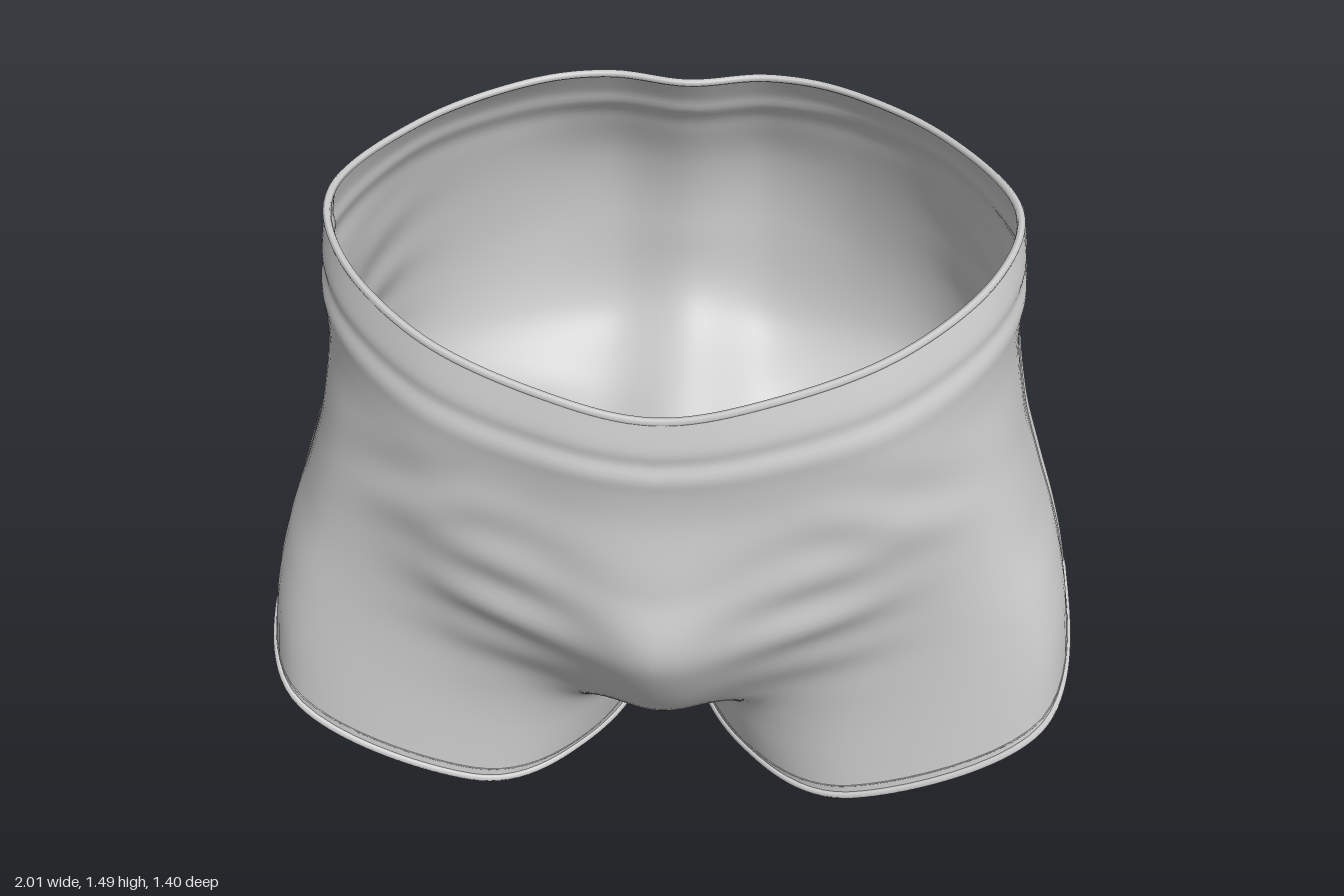
import * as THREE from 'three';
import { mergeGeometries, mergeVertices } from 'three/addons/utils/BufferGeometryUtils.js';

// Lines running from waist to hem on the left half, in order around the leg.
// Point 6 is the crotch level, point 7 the hem.
const CROTCH = [0, 0.29, 0.13], INSEAM = [0.08, 0.05, 0.02];
const centreFront = [[0, 1.21, 0.635], [0, 1.1, 0.655], [0, 0.95, 0.65], [0, 0.77, 0.675], [0, 0.55, 0.69], [0, 0.23, 0.43], CROTCH, INSEAM];
const innerFront = [[0.25, 1.25, 0.605], [0.25, 1.13, 0.63], [0.25, 0.97, 0.62], [0.22, 0.8, 0.63], [0.2, 0.57, 0.62], [0.19, 0.31, 0.47], [0.17, 0.19, 0.36], [0.2, 0.02, 0.32]];
const frontThigh = [[0.52, 1.315, 0.5], [0.53, 1.19, 0.53], [0.54, 1.02, 0.53], [0.54, 0.83, 0.53], [0.52, 0.63, 0.51], [0.49, 0.43, 0.48], [0.46, 0.22, 0.47], [0.47, 0.018, 0.48]];
const frontHip = [[0.73, 1.38, 0.28], [0.75, 1.26, 0.3], [0.75, 1.09, 0.31], [0.78, 0.9, 0.33], [0.83, 0.7, 0.35], [0.88, 0.54, 0.37], [0.91, 0.38, 0.39], [0.925, 0.2, 0.405]];
const side = [[0.79, 1.43, 0.03], [0.81, 1.3, 0.01], [0.81, 1.12, 0], [0.845, 0.9, -0.03], [0.89, 0.74, -0.04], [0.935, 0.6, -0.03], [0.965, 0.49, -0.02], [0.985, 0.39, -0.02]];
const backHip = [[0.63, 1.45, -0.27], [0.67, 1.34, -0.31], [0.7, 1.14, -0.36], [0.74, 0.92, -0.38], [0.79, 0.74, -0.37], [0.82, 0.56, -0.355], [0.835, 0.42, -0.35], [0.85, 0.225, -0.345]];
const backThigh = [[0.4, 1.47, -0.45], [0.44, 1.35, -0.52], [0.46, 1.15, -0.58], [0.47, 0.93, -0.6], [0.48, 0.73, -0.565], [0.5, 0.55, -0.46], [0.53, 0.36, -0.445], [0.55, 0.135, -0.48]];
const seat = [[0.2, 1.475, -0.51], [0.21, 1.36, -0.58], [0.22, 1.17, -0.67], [0.22, 0.95, -0.69], [0.22, 0.7, -0.65], [0.22, 0.54, -0.48], [0.24, 0.36, -0.35], [0.25, 0.08, -0.36]];
const centreBack = [[0, 1.465, -0.49], [0, 1.35, -0.56], [0, 1.16, -0.645], [0, 0.96, -0.665], [0, 0.74, -0.62], [0, 0.57, -0.39], CROTCH, INSEAM];
const lines = [centreFront, innerFront, frontThigh, frontHip, side, backHip, backThigh, seat, centreBack];

const spline = (a, b, c, d, t) => a.map((_, i) => {
  const m0 = (c[i] - a[i]) / 2, m1 = (d[i] - b[i]) / 2, t2 = t * t, t3 = t2 * t;
  return (2 * t3 - 3 * t2 + 1) * b[i] + (t3 - 2 * t2 + t) * m0 + (3 * t2 - 2 * t3) * c[i] + (t3 - t2) * m1;
});
const lerp = (a, b, t) => a.map((n, i) => n + (b[i] - n) * t);
const mirror = p => [-p[0], p[1], p[2]];
const bell = (x, centre, width) => Math.exp(-(((x - centre) / width) ** 2));

// Point on one waist-to-hem line; the two centre lines meet at the crotch
function linePoint(k, v) {
  const line = lines[k], centre = k === 0 || k === 8;
  if (centre && v > 6) {
    // the inseam leaves the crotch sideways, then drops to the hem
    const t = v - 6, p = lerp(CROTCH, INSEAM, t ** 1.3);
    return [INSEAM[0] * (1 - (1 - t) ** 4), p[1], p[2]];
  }
  const last = centre ? 6 : 7, i = Math.min(Math.floor(v), last - 1);
  return spline(line[Math.max(i - 1, 0)], line[i], line[i + 1], line[Math.min(i + 2, last)], v - i);
}

// Point on the cloth: u = 0 (front) to 8 (back), v = 0 (waist) to 7 (hem)
function cloth(u, v, s = 1, lift = 0) {
  const row = lines.map((_, k) => linePoint(k, v));
  const loop = THREE.MathUtils.smoothstep(v, 6, 6.4);
  const i = Math.min(Math.floor(u), 7);
  const before = [...(i ? row[i - 1] : lerp(mirror(row[1]), row[7], loop))];
  const after = [...(i < 7 ? row[i + 2] : lerp(mirror(row[7]), row[1], loop))];
  // the hem rises to a point at the side seam
  const point = THREE.MathUtils.smoothstep(v, 5, 7);
  if (i === 3) after[1] += (2 * row[4][1] - row[3][1] - after[1]) * point;
  if (i === 4) before[1] += (2 * row[4][1] - row[5][1] - before[1]) * point;
  const p = spline(before, row[i], row[i + 1], after, u - i);

  // waistband crease and soft folds
  let push = lift - 0.007 * bell(v, 0.95, 0.14) + 0.003 * bell(v, 1.25, 0.15);
  const [x, y, z] = p;
  if (z > 0) {
    push += 0.009 * Math.sin(38 * (y - 0.25 * x)) * bell(y, 0.65, 0.22) * bell(x, 0.36, 0.17);
    push += 0.007 * Math.sin(30 * (y + 0.4 * x)) * bell(y, 0.92, 0.12) * bell(x, 0.55, 0.17);
  } else {
    push += 0.005 * Math.sin(34 * (y + 0.3 * z)) * bell(y, 0.95, 0.25) * bell(z, -0.28, 0.13);
  }
  const r = Math.hypot(x, z) || 1;
  const onCentre = (u === 0 || u === 8) && v <= 6;
  return new THREE.Vector3(onCentre ? 0 : s * (x + push * x / r), y, z + push * z / r);
}

// One half of the shorts as a grid
function halfShell(s) {
  const nu = 80, nv = 84, pos = [], index = [];
  for (let j = 0; j <= nv; j++)
    for (let i = 0; i <= nu; i++) pos.push(...cloth(8 * i / nu, 7 * j / nv, s).toArray());
  for (let j = 0; j < nv; j++) {
    for (let i = 0; i < nu; i++) {
      const a = j * (nu + 1) + i, b = a + nu + 1, c = a + 1, d = b + 1;
      if (s > 0) index.push(a, b, c, c, b, d);
      else index.push(a, c, b, c, d, b);
    }
  }
  const g = new THREE.BufferGeometry();
  g.setAttribute('position', new THREE.Float32BufferAttribute(pos, 3));
  g.setIndex(index);
  return g;
}

export function createModel() {
  const model = new THREE.Group();
  const material = new THREE.MeshStandardMaterial({ color: 0xcccccc, side: THREE.DoubleSide });
  const add = (name, geometry) => {
    const mesh = new THREE.Mesh(geometry, material);
    mesh.name = name;
    model.add(mesh);
  };
  const cord = (name, points, radius, closed) =>
    add(name, new THREE.TubeGeometry(new THREE.CatmullRomCurve3(points, closed), points.length * 2, radius, 6, closed));
  const samples = (n, f) => Array.from({ length: n }, (_, i) => f(i / n));

  // cloth shell, both halves welded along the centre
  const shell = mergeVertices(mergeGeometries([halfShell(1), halfShell(-1)]), 1e-4);
  shell.computeVertexNormals();
  add('shortsCloth', shell);

  // rolled waist edge, set just inside the cloth
  const edge = s => t => cloth(s > 0 ? 8 * t : 8 - 8 * t, 0, s, -0.006);
  cord('waistEdge', [...samples(40, edge(1)), ...samples(40, edge(-1))], 0.01, true);

  for (const s of [1, -1]) {
    const label = s > 0 ? 'left' : 'right';
    // leg hem with its stitching
    cord(label + 'HemEdge', samples(64, t => cloth(8 * t, 7, s)), 0.01, true);
    cord(label + 'HemStitch', samples(64, t => cloth(8 * t, 6.8, s)), 0.002, true);
    // raised side seam with a stitch line beside it
    cord(label + 'SideSeam', samples(40, t => cloth(4, 7 * t / 0.975, s)), 0.008, false);
    cord(label + 'SideStitch', samples(40, t => cloth(3.89, 7 * t / 0.975, s)), 0.003, false);
  }
  return model;
}
